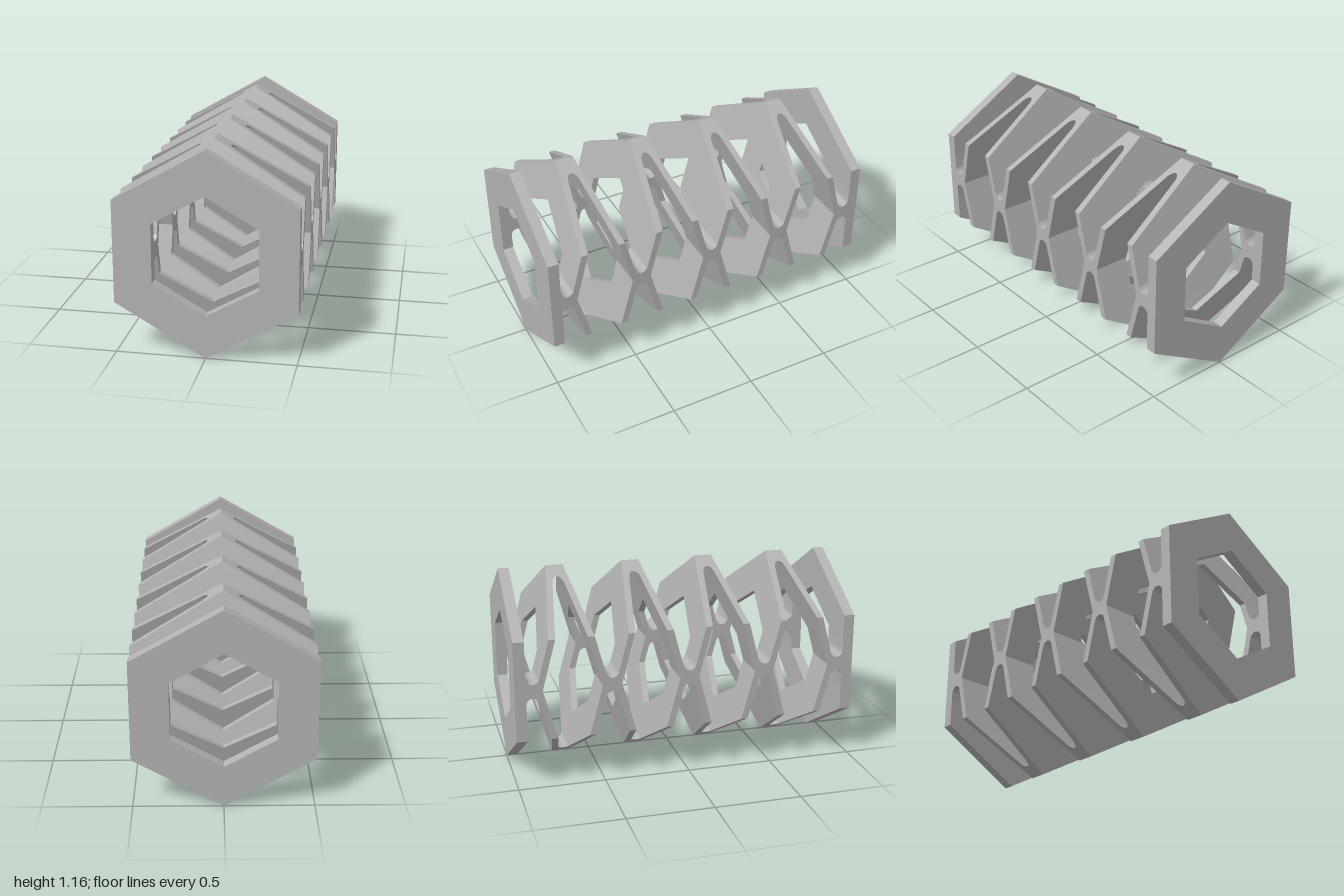
import * as THREE from 'three';
import { toCreasedNormals } from 'three/addons/utils/BufferGeometryUtils.js';

const OUTER = 0.5815, INNER = 0.336;      // hexagon corner radii; also the axis height
const PITCH = 0.45, SLOPE = Math.tan(Math.PI / 12);
const NOTCH = { r: 0.0374, y: 0.077 };    // rounding of the notches between cells
const EYE = { r: 0.0342, y: 0.4987 };     // rounding at the tips of the diamond openings
const STEPS = 12;

// Half width of a pointed-up hexagon at distance d above or below the axis
const hexHalf = (radius, d) =>
  Math.max(0, Math.min(radius * Math.sqrt(3) / 2, (radius - d) * Math.sqrt(3)));

const arc = (c, d) => Math.sqrt(Math.max(0, c.r * c.r - (d - c.y) ** 2));

// Half width of the notch between two neighbouring cells
function notch(d) {
  if (d <= NOTCH.y - NOTCH.r + 1e-6) return 0;
  const tangent = NOTCH.y - NOTCH.r * Math.sin(Math.PI / 12);
  return d < tangent ? arc(NOTCH, d) : (d + 0.0675) * SLOPE;
}

// Half width of the slot beside an end plate
function endSlot(d) {
  if (d <= NOTCH.y - NOTCH.r + 1e-6) return 0;
  return d < NOTCH.y ? arc(NOTCH, d) : NOTCH.r;
}

// Half width of the diamond opening inside a cell
function diamond(d) {
  if (d >= EYE.y + EYE.r - 1e-6) return 0;
  const tangent = EYE.y + EYE.r * Math.sin(Math.PI / 12);
  return d > tangent ? arc(EYE, d) : 0.169 - d * SLOPE;
}

// Heights at which any of the outlines bends, mirrored about the axis
function makeLevels() {
  const up = [0, INNER / 2, OUTER / 2, INNER, OUTER];
  for (let i = 0; i <= STEPS; i++) {
    const t = (i / STEPS) * Math.PI / 2;
    up.push(NOTCH.y - NOTCH.r * Math.cos(t));
    if (i <= STEPS * 5 / 6) up.push(EYE.y + EYE.r * Math.cos(t));
  }
  up.sort((a, b) => a - b);
  return [...up.slice(1).reverse().map((d) => -d), ...up];
}

// Adds a quad facing the given axis direction, dropping collapsed triangles
function quad(out, p, q, r, s, facing) {
  for (const tri of [[p, q, r], [p, r, s]]) {
    const [a, b, c] = tri.map((v) => new THREE.Vector3(...v));
    const n = b.clone().sub(a).cross(c.clone().sub(a));
    if (n.length() < 1e-9) continue;
    const order = n.dot(facing) > 0 ? [a, b, c] : [a, c, b];
    order.forEach((v) => out.push(v.x, v.y, v.z));
  }
}

// One strip of hexagonal tube wall lying between z = near(d) and z = far(d).
// nearOpen / farOpen tell where the strip has an exposed face.
function addStrip(out, zSide, near, far, nearOpen, farOpen) {
  const levels = makeLevels();
  for (let i = 0; i + 1 < levels.length; i++) {
    const [lo, hi] = [levels[i], levels[i + 1]].map((y) => {
      const d = Math.abs(y);
      return {
        y: y + OUTER, xi: hexHalf(INNER, d), xo: hexHalf(OUTER, d),
        a: near(d) * zSide, b: far(d) * zSide, na: nearOpen(d), nb: farOpen(d),
      };
    });
    for (const side of [1, -1]) {
      const P = (l, x, z) => [side * l[x], l.y, l[z]];
      const face = (x, dir) => quad(out, P(lo, x, 'a'), P(lo, x, 'b'), P(hi, x, 'b'), P(hi, x, 'a'),
        new THREE.Vector3(dir * side, 0, 0));
      const wall = (z, dir) => quad(out, P(lo, 'xi', z), P(lo, 'xo', z), P(hi, 'xo', z), P(hi, 'xi', z),
        new THREE.Vector3(0, 0, dir * zSide));
      face('xo', 1);
      if (lo.xi > 1e-6 || hi.xi > 1e-6) face('xi', -1);
      if (lo.na > 0 || hi.na > 0) wall('a', -1);
      if (lo.nb > 0 || hi.nb > 0) wall('b', 1);
    }
  }
}

function finish(out) {
  const g = new THREE.BufferGeometry();
  g.setAttribute('position', new THREE.Float32BufferAttribute(out, 3));
  return toCreasedNormals(g, 0.5);
}

export function createModel() {
  const group = new THREE.Group();
  const grey = new THREE.MeshStandardMaterial({ color: 0xb3b3b3 });
  grey.name = 'grey';

  const add = (name, geometry, z, turn = 0) => {
    const mesh = new THREE.Mesh(geometry, grey);
    mesh.name = name;
    mesh.position.z = z;
    mesh.rotation.y = turn;
    group.add(mesh);
  };

  // Spring cells: a pair of slanted walls around a diamond opening
  const cell = [];
  for (const s of [1, -1]) {
    addStrip(cell, s, diamond, (d) => PITCH / 2 - notch(d), diamond, notch);
  }
  const cellGeometry = finish(cell);
  for (let i = 0; i < 4; i++) add('springCell' + (i + 1), cellGeometry, (1.5 - i) * PITCH);

  // Flat hexagonal end plates with their short bridges to the outer cells
  const plate = [];
  addStrip(plate, 1, (d) => 2 * PITCH + endSlot(d), () => 1, endSlot, () => 1);
  const plateGeometry = finish(plate);
  add('frontEndPlate', plateGeometry, 0);
  add('backEndPlate', plateGeometry, 0, Math.PI);

  return group;
}
